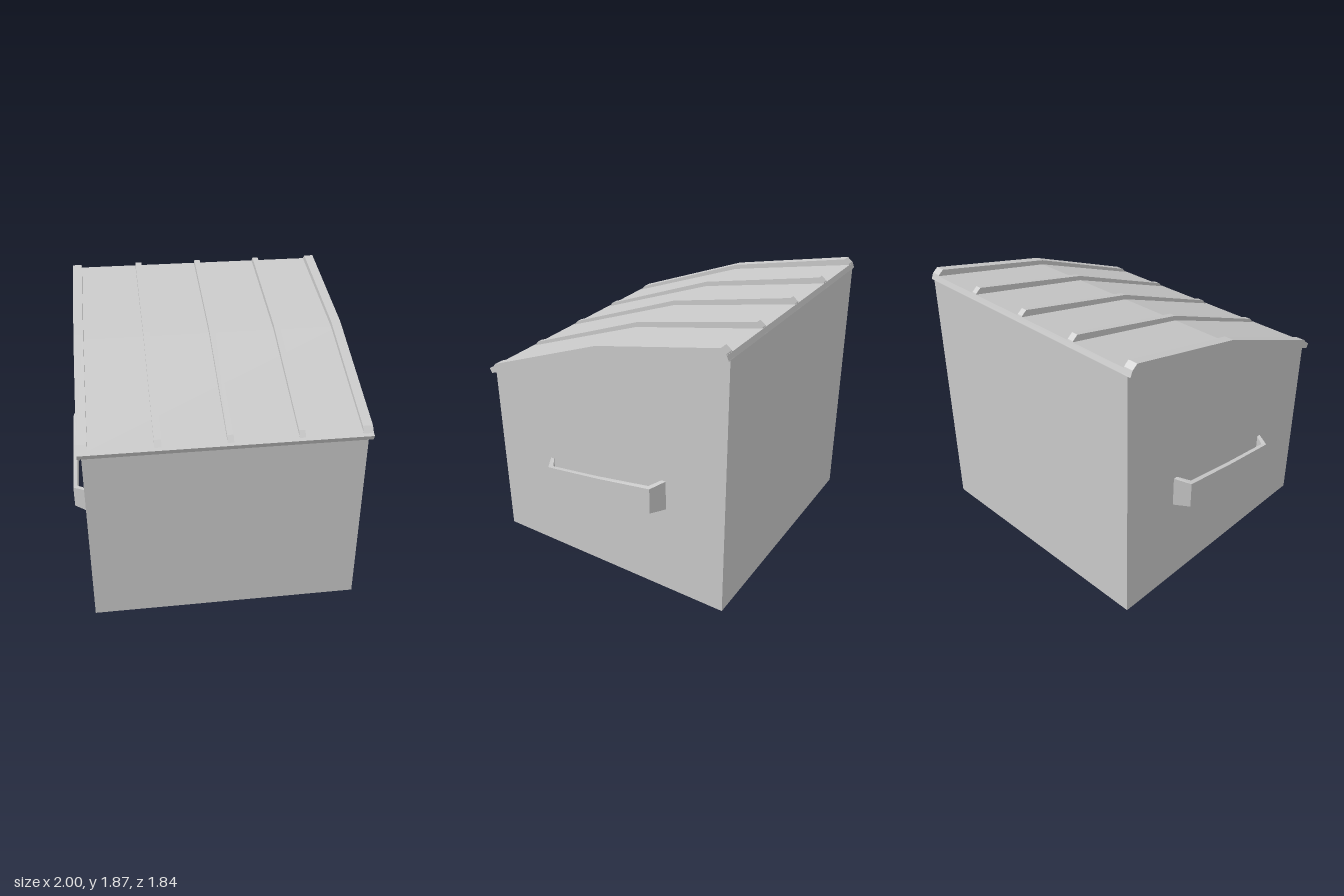
import * as THREE from 'three';

const grey = new THREE.MeshStandardMaterial({ color: 0xcacaca });
grey.name = 'light grey';

// Extrudes a [z, y] side profile across x, from x0 to x1
function sideExtrude(name, profile, x0, x1) {
  const shape = new THREE.Shape(profile.map(([z, y]) => new THREE.Vector2(-z, y)));
  const geo = new THREE.ExtrudeGeometry(shape, { depth: x1 - x0, bevelEnabled: false });
  geo.rotateY(Math.PI / 2).translate(x0, 0, 0);
  const mesh = new THREE.Mesh(geo, grey);
  mesh.name = name;
  return mesh;
}

// Flat strap swept through cross-sections; side is +1 (left) or -1 (right)
function handle(name, side) {
  // outer x, outer z, inner x, inner z, bottom y, top y
  const sections = [
    [0.895, 0.457, 0.895, 0.43, 0.538, 0.716],
    [1.0, 0.395, 0.972, 0.375, 0.56, 0.712],
    [1.0, 0, 0.972, 0, 0.61, 0.765],
    [1.0, -0.43, 0.972, -0.405, 0.65, 0.835],
    [0.895, -0.49, 0.895, -0.46, 0.643, 0.857],
  ];
  const rings = sections.map(([ox, oz, ix, iz, b, t]) => [
    [ox * side, b, oz], [ox * side, t, oz], [ix * side, t, iz], [ix * side, b, iz],
  ]);
  const pos = [];
  const quad = (a, b, c, d) => {
    const order = side > 0 ? [a, b, c, a, c, d] : [a, c, b, a, d, c];
    order.forEach((p) => pos.push(...p));
  };
  for (let i = 0; i < rings.length - 1; i++) {
    for (let k = 0; k < 4; k++) {
      const n = (k + 1) % 4;
      quad(rings[i][k], rings[i + 1][k], rings[i + 1][n], rings[i][n]);
    }
  }
  const geo = new THREE.BufferGeometry();
  geo.setAttribute('position', new THREE.Float32BufferAttribute(pos, 3));
  geo.computeVertexNormals();
  const mesh = new THREE.Mesh(geo, grey);
  mesh.name = name;
  return mesh;
}

export function createModel() {
  const group = new THREE.Group();
  group.name = 'slopedBin';

  // Bin body with a sloping, once-bent top edge
  group.add(sideExtrude('body',
    [[0.885, 0], [0.885, 1.266], [0, 1.605], [-0.915, 1.803], [-0.915, 0]], -0.9, 0.9));

  // Lid sheet, slightly overhanging the body
  group.add(sideExtrude('lid',
    [[0.903, 1.257], [0.918, 1.29], [0, 1.645], [-0.905, 1.84], [-0.918, 1.805], [0, 1.605]],
    -0.925, 0.925));

  // Raised ribs with bevelled ends
  const ribs = [[-0.925, -0.86], [-0.455, -0.41], [-0.003, 0.038], [0.45, 0.49], [0.86, 0.925]];
  ribs.forEach(([x0, x1], i) => {
    group.add(sideExtrude('lidRib' + (i + 1),
      [[0.895, 1.299], [0.862, 1.336], [0, 1.678], [-0.865, 1.874], [-0.9, 1.846],
        [-0.918, 1.806], [0, 1.63]],
      x0, x1));
  });

  // Side handles
  group.add(handle('leftHandle', 1), handle('rightHandle', -1));
  return group;
}
